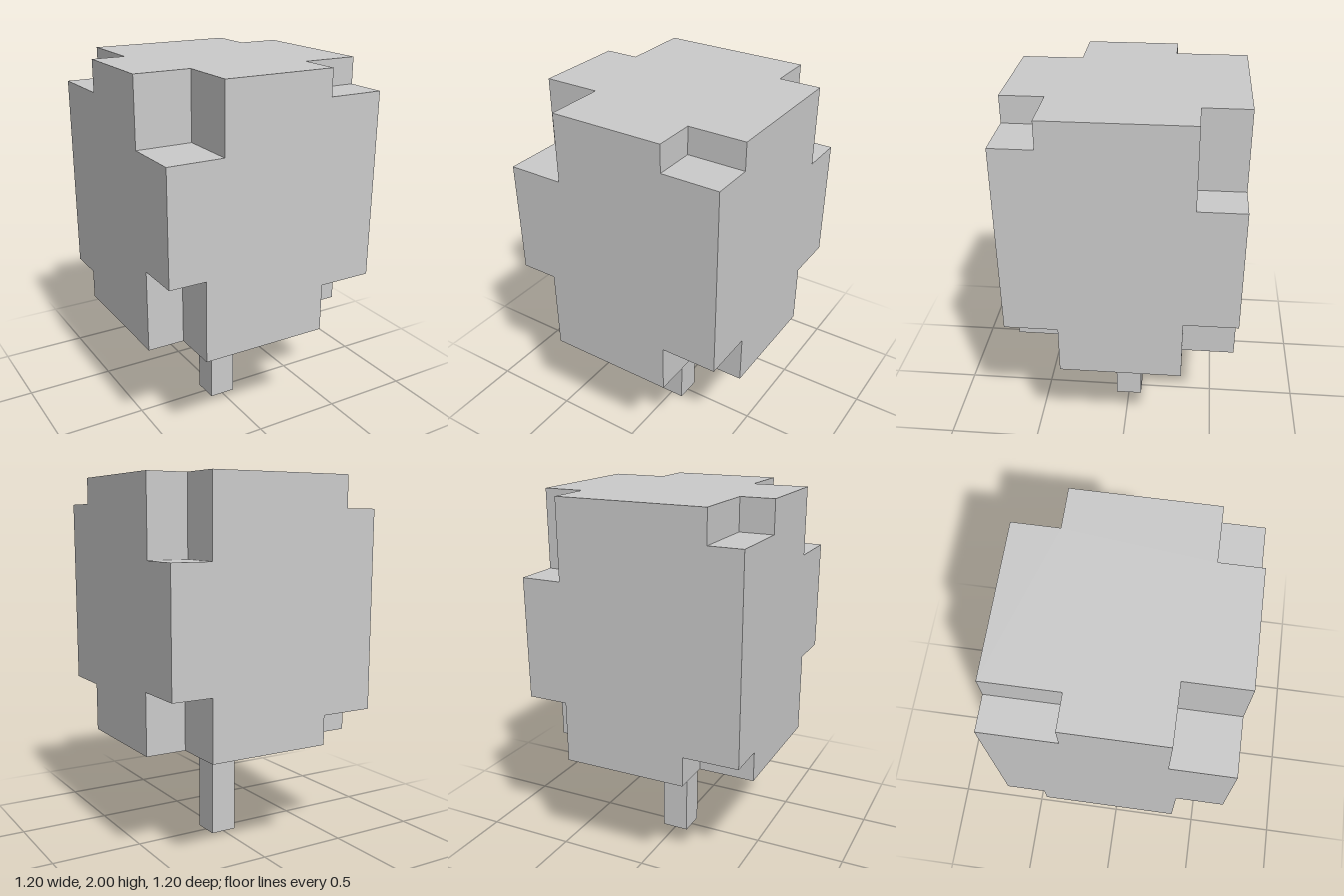
import * as THREE from 'three';

const HALF = [0.6, 0.7, 0.6];
const CENTRE_Y = 1.3;
const STEM_WIDTH = 0.15;

// Each corner of the block: its signs on x, y, z and the size of the bite taken out
const NOTCHES = [
  { sign: [1, 1, 1], size: [0.3, 0.14, 0.22] },
  { sign: [-1, 1, 1], size: [0.3, 0.36, 0.32] },
  { sign: [1, -1, 1], size: [0.3, 0.26, 0.28] },
  { sign: [-1, -1, 1], size: [0.2, 0.44, 0.25] },
  { sign: [1, 1, -1], size: [0.22, 0.42, 0.24] },
  { sign: [-1, 1, -1], size: [0.18, 0.17, 0.38] },
  { sign: [1, -1, -1], size: [0.22, 0.33, 0.28] },
  { sign: [-1, -1, -1], size: [0.3, 0.16, 0.21] },
];

// Box with a rectangular bite out of every corner, as one closed surface
function notchedBlock() {
  const positions = [];

  // Flat polygon across an axis; outline runs counter-clockwise in (u, v)
  function addFace(axis, at, facing, outline) {
    const u = (axis + 1) % 3, v = (axis + 2) % 3;
    for (const tri of THREE.ShapeUtils.triangulateShape(outline, [])) {
      if (facing < 0) tri.reverse();
      for (const i of tri) {
        const p = [0, 0, 0];
        p[axis] = at;
        p[u] = outline[i].x;
        p[v] = outline[i].y;
        positions.push(...p);
      }
    }
  }

  const corners = [[1, 1], [-1, 1], [-1, -1], [1, -1]];
  for (let axis = 0; axis < 3; axis++) {
    const u = (axis + 1) % 3, v = (axis + 2) % 3;
    for (const side of [1, -1]) {
      const outline = [];
      for (const [su, sv] of corners) {
        const { size } = NOTCHES.find(({ sign }) =>
          sign[axis] === side && sign[u] === su && sign[v] === sv);
        const outU = su * HALF[u], inU = su * (HALF[u] - size[u]);
        const outV = sv * HALF[v], inV = sv * (HALF[v] - size[v]);
        const step = [
          new THREE.Vector2(outU, inV),
          new THREE.Vector2(inU, inV),
          new THREE.Vector2(inU, outV),
        ];
        if (su * sv < 0) step.reverse();
        outline.push(...step);

        // Inner wall of this corner's bite
        const wall = [...step, new THREE.Vector2(outU, outV)].reverse();
        addFace(axis, side * (HALF[axis] - size[axis]), side, wall);
      }
      // Outer face of the block
      addFace(axis, side * HALF[axis], side, outline);
    }
  }

  const geometry = new THREE.BufferGeometry();
  geometry.setAttribute('position', new THREE.Float32BufferAttribute(positions, 3));
  geometry.computeVertexNormals();
  return geometry;
}

export function createModel() {
  const group = new THREE.Group();
  const material = new THREE.MeshStandardMaterial({ color: 0xcccccc, flatShading: true });

  // Blocky crown
  const crown = new THREE.Mesh(notchedBlock(), material);
  crown.name = 'crown';
  crown.position.y = CENTRE_Y;

  // Square trunk under the crown
  const trunkHeight = CENTRE_Y - HALF[1];
  const trunk = new THREE.Mesh(new THREE.BoxGeometry(STEM_WIDTH, trunkHeight, STEM_WIDTH), material);
  trunk.name = 'trunk';
  trunk.position.y = trunkHeight / 2;

  group.add(crown, trunk);
  return group;
}
